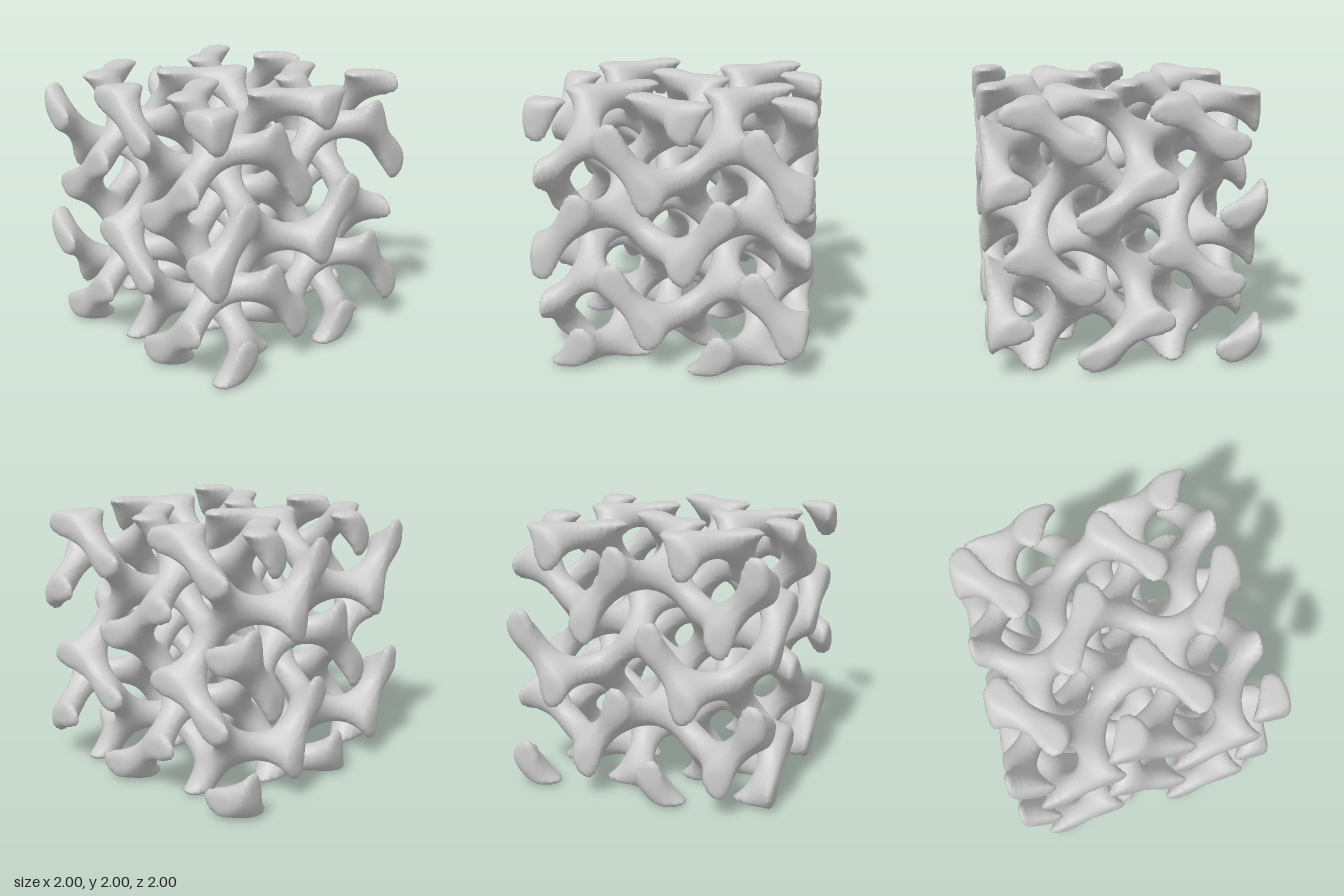
import * as THREE from 'three';

const PERIOD = 1.017;        // size of one lattice cell
const LEVEL = 1.12;          // higher = thinner struts
const STEP = PERIOD / 32;    // sampling step, aligned with the lattice axes
const N = 66;                // samples per axis, one layer outside the block on each side

// Polynomial smooth minimum, rounds the rim where struts meet the block faces
function smoothMin(a, b, k) {
  const h = Math.max(k - Math.abs(a - b), 0) / k;
  return Math.min(a, b) - h * h * k / 4;
}

// Positive inside the struts; sign picks one of the two interlocking networks
function field(x, y, z, sign) {
  const k = 2 * Math.PI / PERIOD;
  const X = k * x, Y = k * y, Z = k * z;
  const gyroid = Math.sin(X) * Math.cos(Y) + Math.sin(Y) * Math.cos(Z) + Math.sin(Z) * Math.cos(X);
  const inBox = Math.min(x, y, z, 2 - x, 2 - y, 2 - z);
  return smoothMin(sign * gyroid - LEVEL, 6 * inBox, 0.22);
}

// Surface net: one vertex per crossed cell, one quad per crossed grid edge
function networkGeometry(sign) {
  const stride = [1, N, N * N];
  const at = (i, j, k) => i + j * N + k * N * N;
  const coord = (i) => (i - 1) * STEP;
  const value = new Float32Array(N * N * N);
  for (let k = 0; k < N; k++)
    for (let j = 0; j < N; j++)
      for (let i = 0; i < N; i++)
        value[at(i, j, k)] = field(coord(i), coord(j), coord(k), sign);

  // Vertices at the mean of each cell's edge crossings
  const vertexOf = new Int32Array(N * N * N).fill(-1);
  const positions = [];
  for (let k = 0; k < N - 1; k++)
    for (let j = 0; j < N - 1; j++)
      for (let i = 0; i < N - 1; i++) {
        const sum = [0, 0, 0];
        let count = 0;
        for (let c = 0; c < 8; c++) {
          const corner = [c & 1, (c >> 1) & 1, c >> 2];
          const p = at(i + corner[0], j + corner[1], k + corner[2]);
          for (let a = 0; a < 3; a++) {
            if (corner[a]) continue;
            const v0 = value[p], v1 = value[p + stride[a]];
            if ((v0 > 0) === (v1 > 0)) continue;
            for (let b = 0; b < 3; b++) sum[b] += corner[b] + (b === a ? v0 / (v0 - v1) : 0);
            count++;
          }
        }
        if (!count) continue;
        vertexOf[at(i, j, k)] = positions.length / 3;
        positions.push(
          coord(i + sum[0] / count) - 1,
          coord(j + sum[1] / count),
          coord(k + sum[2] / count) - 1
        );
      }

  // Quads wound to face out of the struts
  const index = [];
  for (let k = 1; k < N - 1; k++)
    for (let j = 1; j < N - 1; j++)
      for (let i = 1; i < N - 1; i++) {
        const p = at(i, j, k);
        for (let a = 0; a < 3; a++) {
          const inside = value[p] > 0;
          if (inside === (value[p + stride[a]] > 0)) continue;
          const b = stride[(a + 1) % 3], c = stride[(a + 2) % 3];
          const q = [p - b - c, p - c, p, p - b].map((cell) => vertexOf[cell]);
          if (!inside) q.reverse();
          index.push(q[0], q[1], q[2], q[0], q[2], q[3]);
        }
      }

  const geometry = new THREE.BufferGeometry();
  geometry.setAttribute('position', new THREE.Float32BufferAttribute(positions, 3));
  geometry.setIndex(index);
  geometry.computeVertexNormals();
  return geometry;
}

export function createModel() {
  const model = new THREE.Group();
  model.name = 'doubleGyroidBlock';
  const material = new THREE.MeshStandardMaterial({ color: 0xcccccc });

  // Two mirror-image strut networks woven through each other
  for (const [name, sign] of [['rightHandedNetwork', 1], ['leftHandedNetwork', -1]]) {
    const mesh = new THREE.Mesh(networkGeometry(sign), material);
    mesh.name = name;
    model.add(mesh);
  }
  return model;
}
